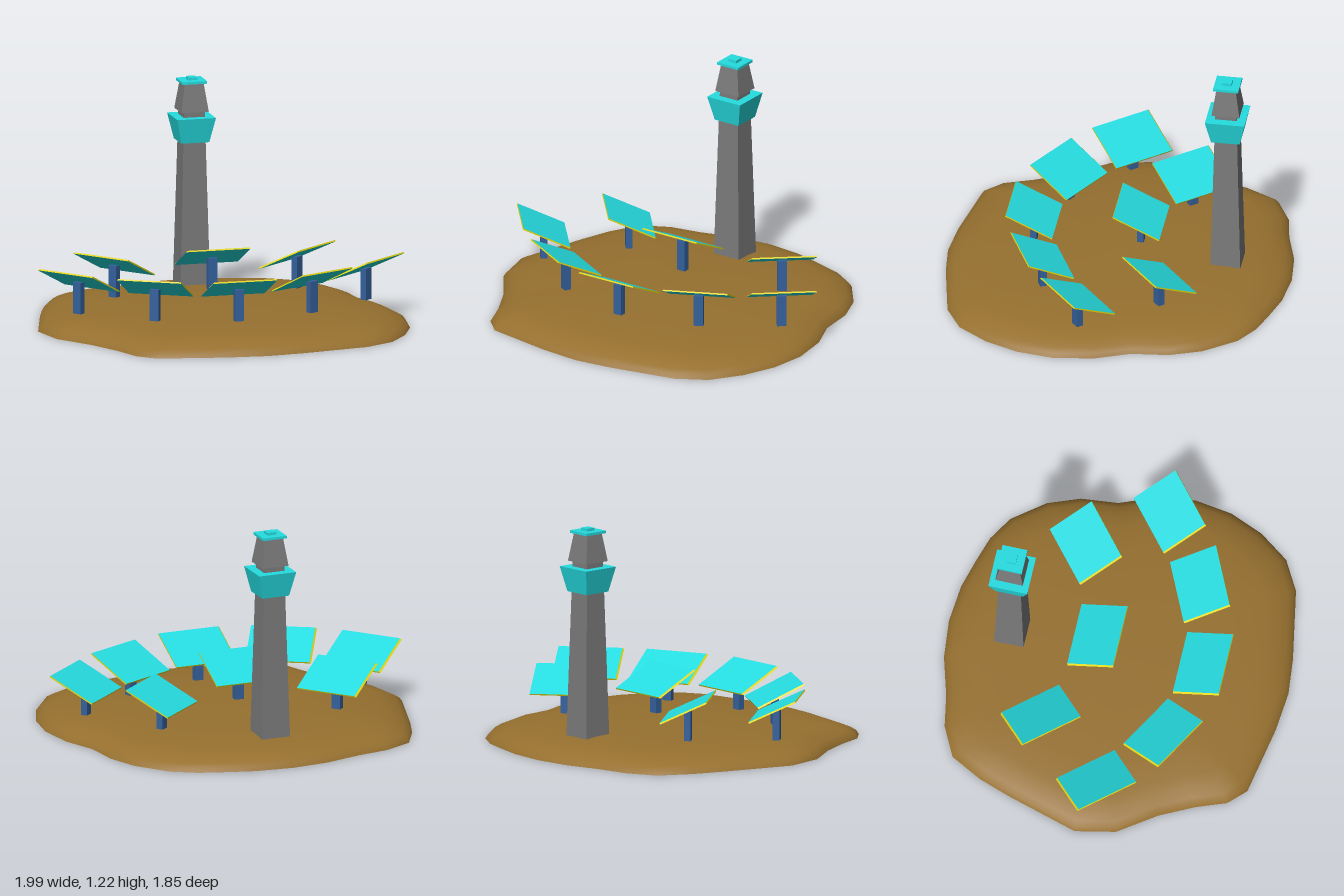
import * as THREE from 'three';

const mat = (name, color, opts = {}) => {
  const m = new THREE.MeshStandardMaterial({ color, ...opts });
  m.name = name;
  return m;
};

// Island shore, as x,z pairs running clockwise seen from above
const SHORE = [
  [0.015, -0.93], [0.22, -0.91], [0.38, -0.865], [0.52, -0.82], [0.65, -0.74], [0.78, -0.57], [0.845, -0.4],
  [0.865, -0.2], [0.94, -0.015], [0.97, 0.2], [0.94, 0.4], [0.865, 0.58], [0.75, 0.74], [0.59, 0.83],
  [0.21, 0.9], [0.015, 0.92], [-0.2, 0.9], [-0.57, 0.83], [-0.66, 0.74], [-0.72, 0.58], [-0.81, 0.4],
  [-0.95, 0.2], [-0.995, -0.015], [-0.88, -0.4], [-0.82, -0.57], [-0.73, -0.74], [-0.57, -0.82],
  [-0.4, -0.85], [-0.19, -0.91],
];
// Dome section: shore scale, height
const DOME = [[1, 0], [0.985, 0.022], [0.955, 0.04], [0.9, 0.062], [0.82, 0.08], [0.65, 0.097], [0.35, 0.106], [0, 0.11]];

function islandGeometry() {
  const pos = [], index = [], n = SHORE.length;
  for (const [s, y] of DOME) for (const [x, z] of SHORE) pos.push(x * s, y, z * s);
  for (let r = 0; r < DOME.length - 1; r++) {
    for (let j = 0; j < n; j++) {
      const a = r * n + j, b = r * n + (j + 1) % n;
      index.push(a, a + n, b);
      if (r < DOME.length - 2) index.push(b, a + n, b + n);
    }
  }
  const g = new THREE.BufferGeometry();
  g.setAttribute('position', new THREE.Float32BufferAttribute(pos, 3));
  g.setIndex(index);
  g.computeVertexNormals();
  return g;
}

// Square tapered block between two heights, given half widths
function taperedBlock(bottom, top, y0, y1) {
  const g = new THREE.CylinderGeometry(top * Math.SQRT2, bottom * Math.SQRT2, y1 - y0, 4);
  return g.rotateY(Math.PI / 4).translate(0, (y0 + y1) / 2, 0);
}

// Thin mirror slab whose top face is drawn in at the -x end, baring the rim
function mirrorGeometry() {
  const g = new THREE.BoxGeometry(0.352, 0.008, 0.277);
  const p = g.attributes.position;
  for (let i = 0; i < p.count; i++) {
    if (p.getY(i) > 0 && p.getX(i) < 0) p.setX(i, p.getX(i) + 0.008);
  }
  g.computeVertexNormals();
  return g;
}

export function createModel() {
  const sand = mat('sand', 0x96702f, { side: THREE.DoubleSide });
  const concrete = mat('concrete', 0x7a7a7a, { flatShading: true });
  const turquoise = mat('turquoise', 0x25dce0, { flatShading: true });
  const yellow = mat('yellow', 0xeee010);
  const blue = mat('blue', 0x34619c);

  const model = new THREE.Group();
  model.name = 'solarTowerIsland';
  const add = (parent, name, geometry, material) => {
    const mesh = new THREE.Mesh(geometry, material);
    mesh.name = name;
    parent.add(mesh);
    return mesh;
  };

  add(model, 'island', islandGeometry(), sand);

  // Receiver tower
  const tower = new THREE.Group();
  tower.name = 'tower';
  tower.position.set(0.004, 0, -0.583);
  model.add(tower);
  add(tower, 'shaft', taperedBlock(0.081, 0.057, 0.08, 1.04), concrete);
  add(tower, 'gallery', taperedBlock(0.077, 0.106, 0.87, 1.005), turquoise);
  add(tower, 'cabin', taperedBlock(0.075, 0.052, 1.035, 1.188), concrete);
  add(tower, 'roof', taperedBlock(0.068, 0.068, 1.186, 1.2), turquoise);
  add(tower, 'roofCap', taperedBlock(0.025, 0.025, 1.2, 1.215), turquoise);

  // Tilting mirrors on posts: x, z, turn in degrees, centre height
  const mirrorShape = mirrorGeometry();
  const postShape = new THREE.BoxGeometry(0.05, 0.17, 0.036).translate(0, -0.085, 0);
  const rim = [yellow, yellow, turquoise, turquoise, yellow, yellow];
  const spots = [
    [-0.495, -0.315, -50, 0.28], [-0.79, 0.055, -50, 0.28], [-0.448, 0.342, -30, 0.28],
    [-0.02, 0.463, 0, 0.28], [0.415, 0.348, 25, 0.28], [0.778, 0.1, 40, 0.28],
    [0.507, -0.295, 40, 0.28], [-0.01, -0.115, 0, 0.335],
  ];
  for (const [x, z, turn, y] of spots) {
    const heliostat = new THREE.Group();
    heliostat.name = 'heliostat';
    heliostat.position.set(x, y, z);
    heliostat.rotation.y = THREE.MathUtils.degToRad(turn);
    model.add(heliostat);
    add(heliostat, 'mirror', mirrorShape, rim).rotation.x = THREE.MathUtils.degToRad(-25.5);
    add(heliostat, 'post', postShape, blue).position.y = -0.008;
  }
  return model;
}
